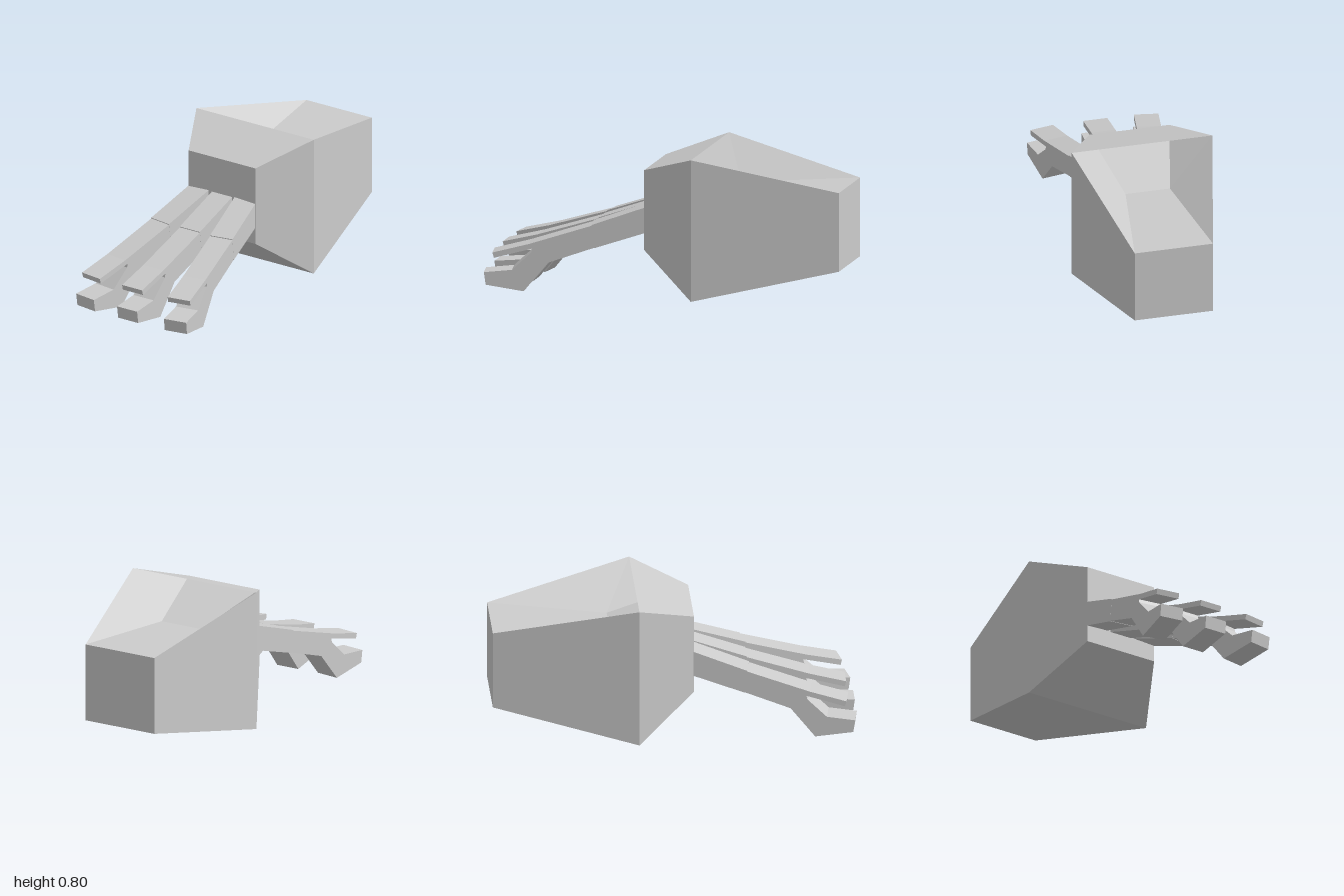
import * as THREE from 'three';

const material = new THREE.MeshStandardMaterial({ color: 0xcccccc, flatShading: true, side: THREE.DoubleSide });

// Rectangular cross-section, counter-clockwise seen from the front
const section = (w, lo, hi, z) => [[-w, lo, z], [w, lo, z], [w, hi, z], [-w, hi, z]];

function palmGeometry() {
  const front = section(0.225, 0.247, 0.694, 0.105);
  const middle = section(0.395, 0.008, 0.8, -0.207);
  const back = section(0.22, 0.185, 0.625, -1);
  const dipR = [-0.125, 0.583, -0.35], dipL = [0.125, 0.583, -0.35];
  const positions = [];
  const quad = (a, b, c, d) => positions.push(...a, ...b, ...c, ...a, ...c, ...d);
  const side = (a, c, i) => {
    const j = (i + 1) % 4;
    quad(a[j], a[i], c[i], c[j]);
  };

  quad(...front);
  quad(...[...back].reverse());
  for (let i = 0; i < 4; i++) side(front, middle, i);
  for (const i of [0, 1, 3]) side(middle, back, i);

  // Sunken top behind the ridge, running forward beneath the sloping lid
  quad(front[3], front[2], dipL, dipR);
  quad(dipR, dipL, back[2], back[3]);
  quad(dipL, front[2], middle[2], back[2]);
  quad(dipR, back[3], middle[3], front[3]);

  const geometry = new THREE.BufferGeometry();
  geometry.setAttribute('position', new THREE.Float32BufferAttribute(positions, 3));
  geometry.computeVertexNormals();
  return geometry;
}

// Extrudes a side profile of [z, y] points across the finger's width
function profileMesh(name, points, width) {
  const shape = new THREE.Shape(points.map(([z, y]) => new THREE.Vector2(z, y)));
  const geometry = new THREE.ExtrudeGeometry(shape, { depth: width, bevelEnabled: false });
  geometry.translate(0, 0, -width / 2).rotateY(-Math.PI / 2);
  const mesh = new THREE.Mesh(geometry, material);
  mesh.name = name;
  return mesh;
}

// Finger profiles, z measured from the front of the palm
const basePoints = [[-0.02, 0.494], [0, 0.488], [0.305, 0.381], [0.288, 0.252], [0, 0.345], [-0.02, 0.35]];
const forkPoints = [
  [0.3, 0.378], [0.65, 0.268], [0.85, 0.217], [0.842, 0.187], [0.63, 0.243], [0.635, 0.222],
  [0.742, 0.122], [0.897, 0.106], [0.887, 0.036], [0.678, 0.003], [0.543, 0.166], [0.286, 0.255],
];

function finger(name, x, yaw) {
  const group = new THREE.Group();
  group.name = name;
  group.add(profileMesh('fingerBase', basePoints, 0.136), profileMesh('forkedFingertip', forkPoints, 0.135));
  group.position.set(x, 0, 0.103);
  group.rotation.y = THREE.MathUtils.degToRad(yaw);
  return group;
}

export function createModel() {
  const model = new THREE.Group();
  model.name = 'clawHand';

  const palm = new THREE.Mesh(palmGeometry(), material);
  palm.name = 'palm';
  model.add(palm);

  model.add(finger('rightFinger', -0.158, -8.5));
  model.add(finger('middleFinger', 0, 0));
  model.add(finger('leftFinger', 0.154, 10.2));
  return model;
}
